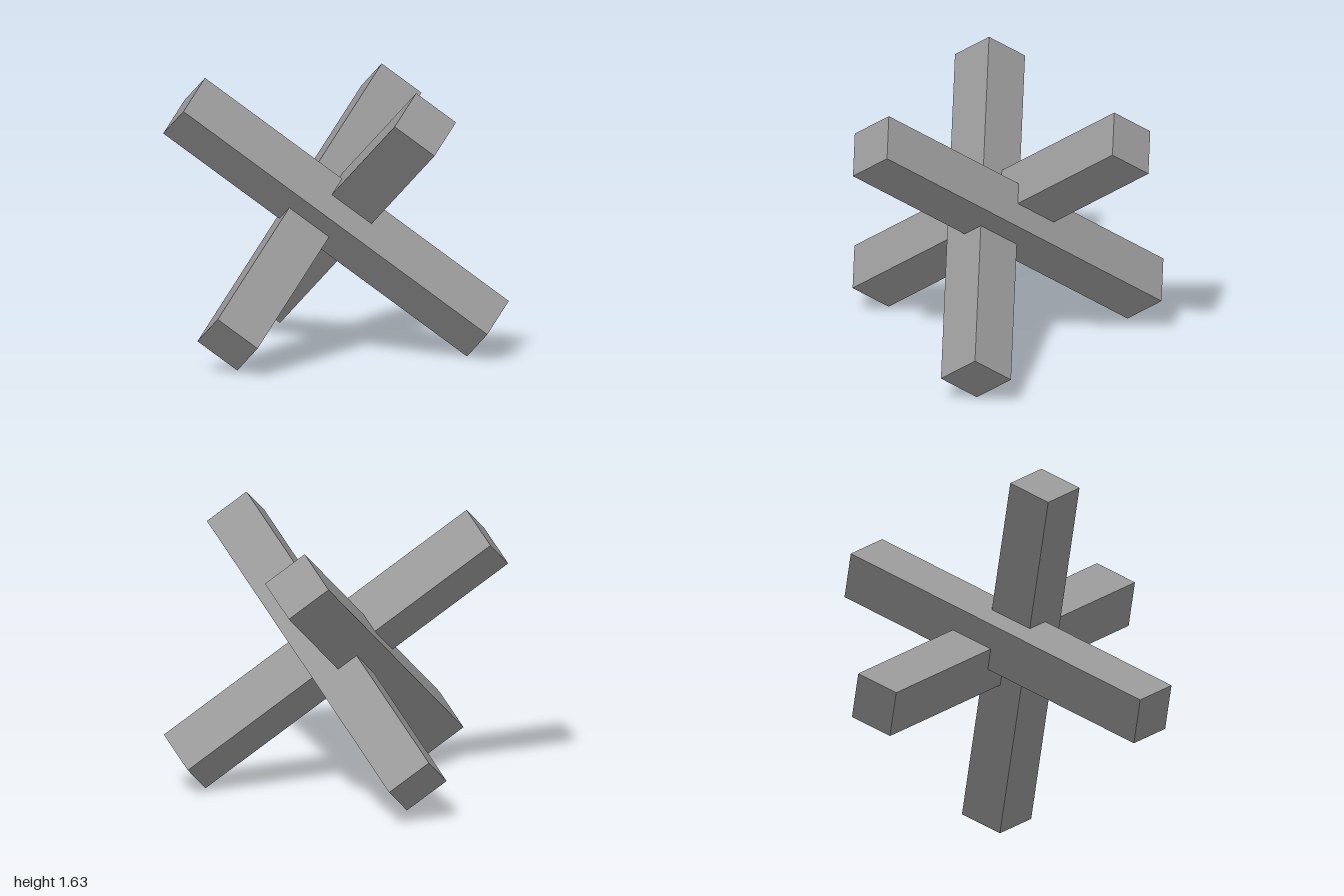
import * as THREE from 'three';

const LENGTH = 2.19;
const SIDE = 0.287;

export function createModel() {
  const model = new THREE.Group();
  model.name = 'crossedBeams';
  const material = new THREE.MeshStandardMaterial({ color: 0x9a9a9a, flatShading: true });

  // Three square beams at right angles, half-lapped side by side around the middle
  const beams = [
    { name: 'frontBeam', size: [LENGTH, SIDE, SIDE], at: [0, 0, 0] },
    { name: 'risingBeam', size: [SIDE, LENGTH, SIDE], at: [0.037, -0.061, -0.15] },
    { name: 'fallingBeam', size: [SIDE, SIDE, LENGTH], at: [-0.115, -0.145, 0.004] },
  ];

  // The cluster is tipped so that it rests on its lower beam ends
  const cluster = new THREE.Group();
  cluster.name = 'beamCluster';
  cluster.rotation.set(Math.PI / 4, 0, THREE.MathUtils.degToRad(-36.55), 'ZYX');
  cluster.position.set(0, 0.8145, 0.126);

  for (const { name, size, at } of beams) {
    const beam = new THREE.Mesh(new THREE.BoxGeometry(...size), material);
    beam.name = name;
    beam.position.set(...at);
    cluster.add(beam);
  }

  model.add(cluster);
  return model;
}
